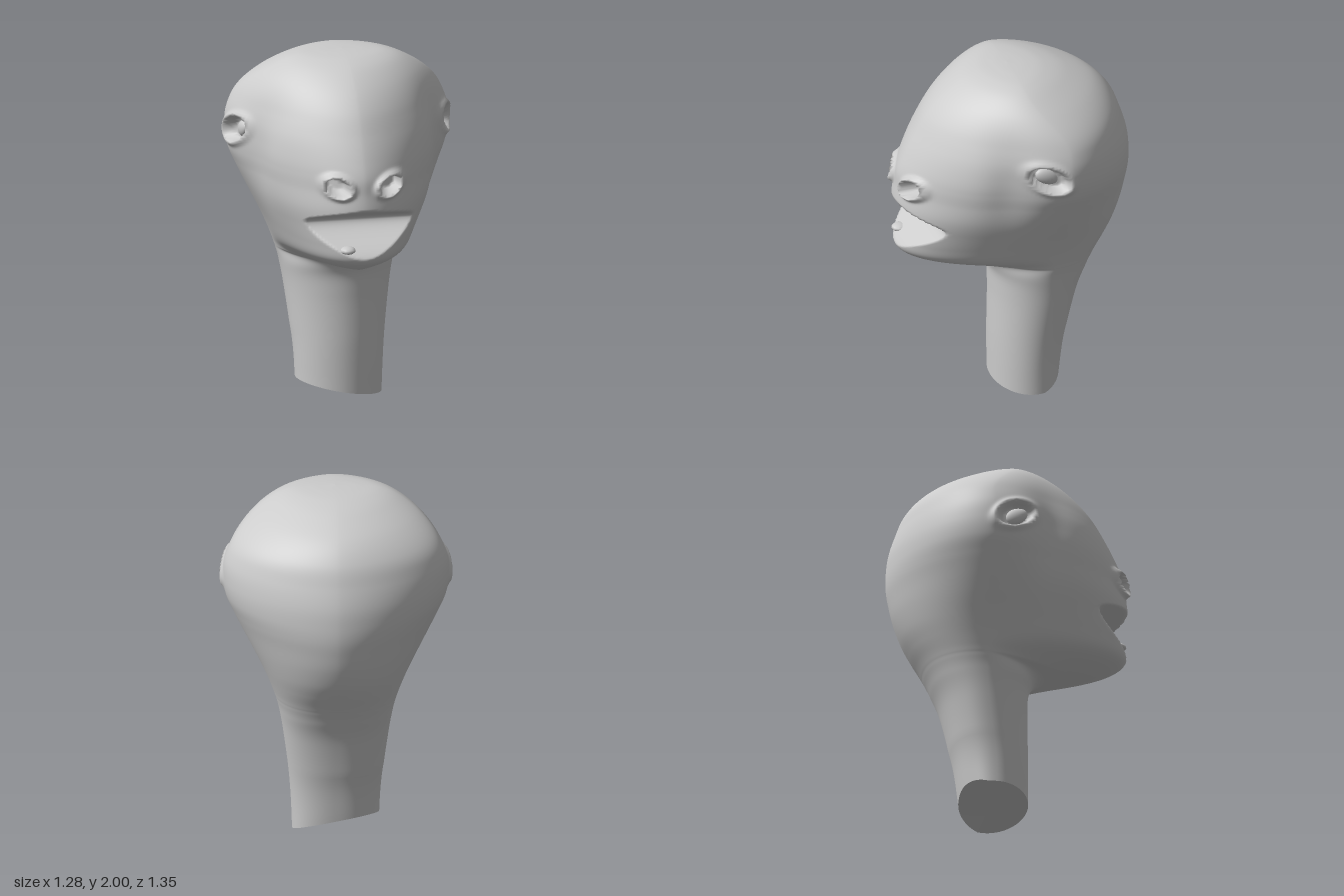
import * as THREE from 'three';

const SEGS = 192, STEPS = 10;
const { smoothstep } = THREE.MathUtils;

// Level sections, bottom to top: y, front z, back z, half width
const SECTIONS = [
  [0, 0.105, -0.275, 0.24], [0.3, 0.105, -0.31, 0.255], [0.6, 0.1, -0.375, 0.29],
  [0.75, 0.115, -0.435, 0.315], [0.82, 0.19, -0.47, 0.333], [0.845, 0.37, -0.484, 0.341],
  [0.88, 0.51, -0.505, 0.353], [0.95, 0.635, -0.55, 0.38], [1.04, 0.66, -0.6, 0.42],
  [1.15, 0.655, -0.642, 0.475], [1.25, 0.658, -0.666, 0.525], [1.34, 0.648, -0.68, 0.568],
  [1.43, 0.638, -0.68, 0.606], [1.53, 0.6, -0.668, 0.622], [1.64, 0.545, -0.635, 0.613],
  [1.76, 0.475, -0.585, 0.56], [1.86, 0.385, -0.49, 0.47], [1.94, 0.275, -0.335, 0.355],
  [1.98, 0.175, -0.21, 0.255], [1.995, 0.08, -0.11, 0.14], [2, 0, 0, 0],
];

// Floor of the open mouth as a sideways V: lower lip, throat, upper lip
const mouthLimit = y => y < 0.95 || y > 1.265 ? Infinity
  : 0.46 + 0.2 * (1 - smoothstep(y, 0.95, 1.16)) + 0.2 * smoothstep(y, 1.16, 1.265);

const bell = (r, centre, width) => Math.exp(-(((r - centre) / width) ** 2));
const pit = r => 1 - smoothstep(r, 0.75, 1);
const power = (v, n) => Math.sign(v) * Math.abs(v) ** (2 / n);

// z of the widest point at each height, and roundness of the front and back halves
const widestZ = y => -0.1 - 0.065 * smoothstep(y, 0.1, 0.8) + 0.165 * smoothstep(y, 1.7, 2);
const frontRoundness = y => 1.95 - 0.6 * bell(y, 0.85, 0.06) - 0.28 * smoothstep(y, 1.15, 1.45);
const backRoundness = y => 2.25 - 0.5 * smoothstep(y, 0.7, 1.3);

// Shape mouth, nostrils, cheeks, eye sockets and the slanted neck cut
function sculpt(p) {
  const side = Math.sign(p.x), ax = Math.abs(p.x);
  if (p.z > 0.3) {
    p.z = Math.min(p.z, mouthLimit(p.y));
    const dx = ax - 0.147, dy = p.y - 1.385;
    const r = Math.hypot((dx * 0.94 + dy * 0.34) / 0.066, (dy * 0.94 - dx * 0.34) / 0.05);
    p.z += 0.035 * bell(r, 1.1, 0.3) - 0.075 * pit(r);
  }
  p.x -= side * 0.04 * bell(p.z, 0.15, 0.13) * bell(p.y, 1.5, 0.25);
  if (ax > 0.4) {
    const dz = p.z + 0.045, dy = p.y - 1.56;
    const r = Math.hypot((dz * 0.9 + dy * 0.43) / 0.115, (dy * 0.9 - dz * 0.43) / 0.07);
    p.x += side * (0.018 * bell(r, 1.12, 0.22) - 0.055 * pit(r));
  }
  if (p.y < 0.4) {
    const cut = Math.max(0, 0.05 - 0.2 * p.x + 0.35 * Math.max(0, -p.z - 0.14));
    p.y += cut * (1 - p.y / 0.4);
  }
  return p;
}

function surface(points, index) {
  const g = new THREE.BufferGeometry().setFromPoints(points);
  g.setIndex(index);
  g.computeVertexNormals();
  return g;
}

export function createModel() {
  const model = new THREE.Group();
  model.name = 'creatureHead';
  const grey = new THREE.MeshStandardMaterial({ color: 0xcccccc });
  const add = (name, geometry) => {
    const mesh = new THREE.Mesh(geometry, grey);
    mesh.name = name;
    model.add(mesh);
    return mesh;
  };

  // Head and neck, one skin lofted through the sections
  const depths = new THREE.CatmullRomCurve3(
    SECTIONS.map(([y, front, back]) => new THREE.Vector3(front, y, back)), false, 'catmullrom', 0.5);
  const widths = new THREE.SplineCurve(SECTIONS.map(([y, , , width]) => new THREE.Vector2(width, y)));
  const rows = (SECTIONS.length - 1) * STEPS;
  const points = [], index = [];
  for (let i = 0; i <= rows; i++) {
    const { x: front, y, z: back } = depths.getPoint(i / rows);
    const width = widths.getPoint(i / rows).x, mid = widestZ(y);
    for (let j = 0; j < SEGS; j++) {
      const a = (j / SEGS) * Math.PI * 2, s = Math.sin(a);
      const n = s > 0 ? frontRoundness(y) : backRoundness(y);
      const reach = s > 0 ? front - mid : mid - back;
      points.push(sculpt(new THREE.Vector3(width * power(Math.cos(a), n), y, mid + reach * power(s, n))));
      if (i === rows) continue;
      const k = (j + 1) % SEGS, lo = i * SEGS, hi = lo + SEGS;
      index.push(lo + j, hi + j, lo + k, hi + j, hi + k, lo + k);
    }
  }
  add('headAndNeck', surface(points, index));

  // Cap closing the cut neck
  const rim = points.slice(0, SEGS);
  const centre = rim.reduce((sum, p) => sum.add(p), new THREE.Vector3()).divideScalar(SEGS);
  const fan = [];
  for (let j = 0; j < SEGS; j++) fan.push(SEGS, j, (j + 1) % SEGS);
  add('neckCap', surface([...rim, centre], fan));

  // Eyeballs set in the sockets
  for (const [name, side] of [['leftEye', 1], ['rightEye', -1]]) {
    const eye = add(name, new THREE.SphereGeometry(1, 24, 16));
    eye.scale.set(0.03, 0.045, 0.075);
    eye.position.set(side * 0.54, 1.56, -0.045);
    eye.rotation.x = -0.44;
  }

  // Small lump on the lower lip
  const lump = add('lowerTooth', new THREE.SphereGeometry(1, 12, 8));
  lump.scale.set(0.045, 0.022, 0.05);
  lump.position.set(-0.09, 1.02, 0.59);

  return model;
}
